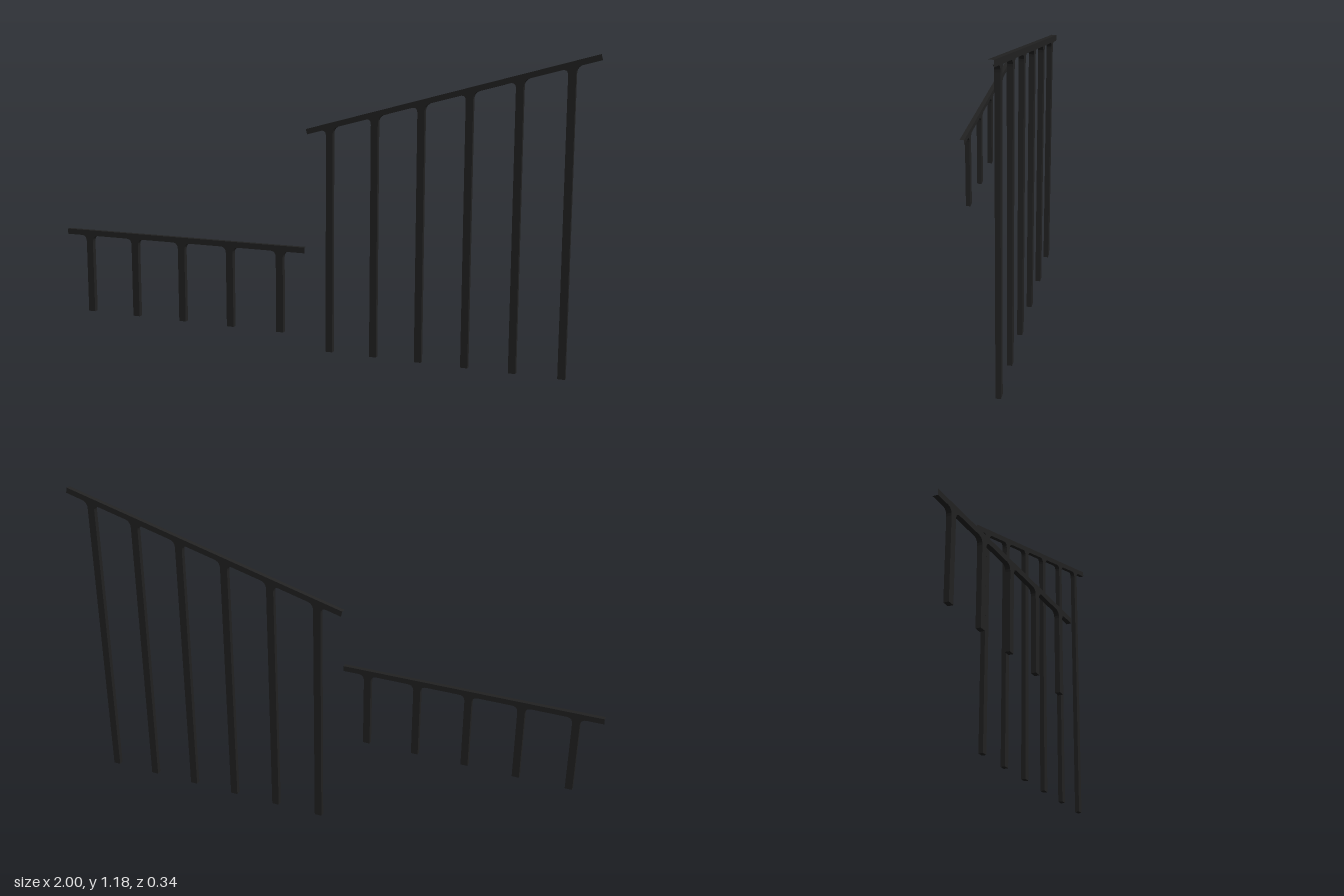
import * as THREE from 'three';

const DEPTH = 0.018, RAIL_H = 0.021, POST_HALF = 0.014, FLARE = 0.024;

// Flat-bar post whose top flares out to meet the underside of the rail
function makePost(x, base, railY, material) {
  const w = POST_HALF, f = FLARE;
  const under = (dx) => railY(x + dx) - RAIL_H / 2;
  const s = new THREE.Shape();
  s.moveTo(-w, base);
  s.lineTo(w, base);
  s.lineTo(w, under(w) - f);
  s.quadraticCurveTo(w, under(w), w + f, under(w + f));
  s.lineTo(-w - f, under(-w - f));
  s.quadraticCurveTo(-w, under(-w), -w, under(-w) - f);
  s.closePath();
  const geo = new THREE.ExtrudeGeometry(s, { depth: DEPTH, bevelEnabled: false, curveSegments: 5 });
  geo.translate(x, 0, -DEPTH / 2);
  const post = new THREE.Mesh(geo, material);
  post.name = 'post';
  return post;
}

// Rectangular rail tube, open at both ends
function makeRail(a, b, material) {
  const geo = new THREE.CylinderGeometry(Math.SQRT1_2, Math.SQRT1_2, 1, 4, 1, true).toNonIndexed();
  geo.rotateY(Math.PI / 4).rotateZ(-Math.PI / 2);
  geo.scale(a.distanceTo(b), RAIL_H, DEPTH);
  geo.computeVertexNormals();
  const rail = new THREE.Mesh(geo, material);
  rail.position.set((a.x + b.x) / 2, (a.y + b.y) / 2, 0);
  rail.rotation.z = Math.atan2(b.y - a.y, b.x - a.x);
  rail.name = 'handrail';
  return rail;
}

function makeRailing(name, { a, b, z, base, firstX, step, count }, material) {
  const group = new THREE.Group();
  group.name = name;
  const railY = (x) => a.y + ((b.y - a.y) * (x - a.x)) / (b.x - a.x);
  group.add(makeRail(a, b, material));
  for (let i = 0; i < count; i++) {
    group.add(makePost(firstX + i * step, base, railY, material));
  }
  group.position.z = z;
  return group;
}

export function createModel() {
  const blackMetal = new THREE.MeshStandardMaterial({ color: 0x222222 });
  blackMetal.name = 'blackMetal';

  const model = new THREE.Group();
  model.name = 'railings';
  // Short level railing at the front
  model.add(makeRailing('levelRailing', {
    a: new THREE.Vector2(-1, 0.473), b: new THREE.Vector2(0.018, 0.473),
    z: 0.163, base: 0.158, firstX: -0.9, step: 0.2043, count: 5,
  }, blackMetal));
  // Tall sloping railing at the back
  model.add(makeRailing('slopingRailing', {
    a: new THREE.Vector2(-0.113, 0.871), b: new THREE.Vector2(0.997, 1.168),
    z: -0.163, base: 0, firstX: -0.018, step: 0.1828, count: 6,
  }, blackMetal));
  return model;
}
